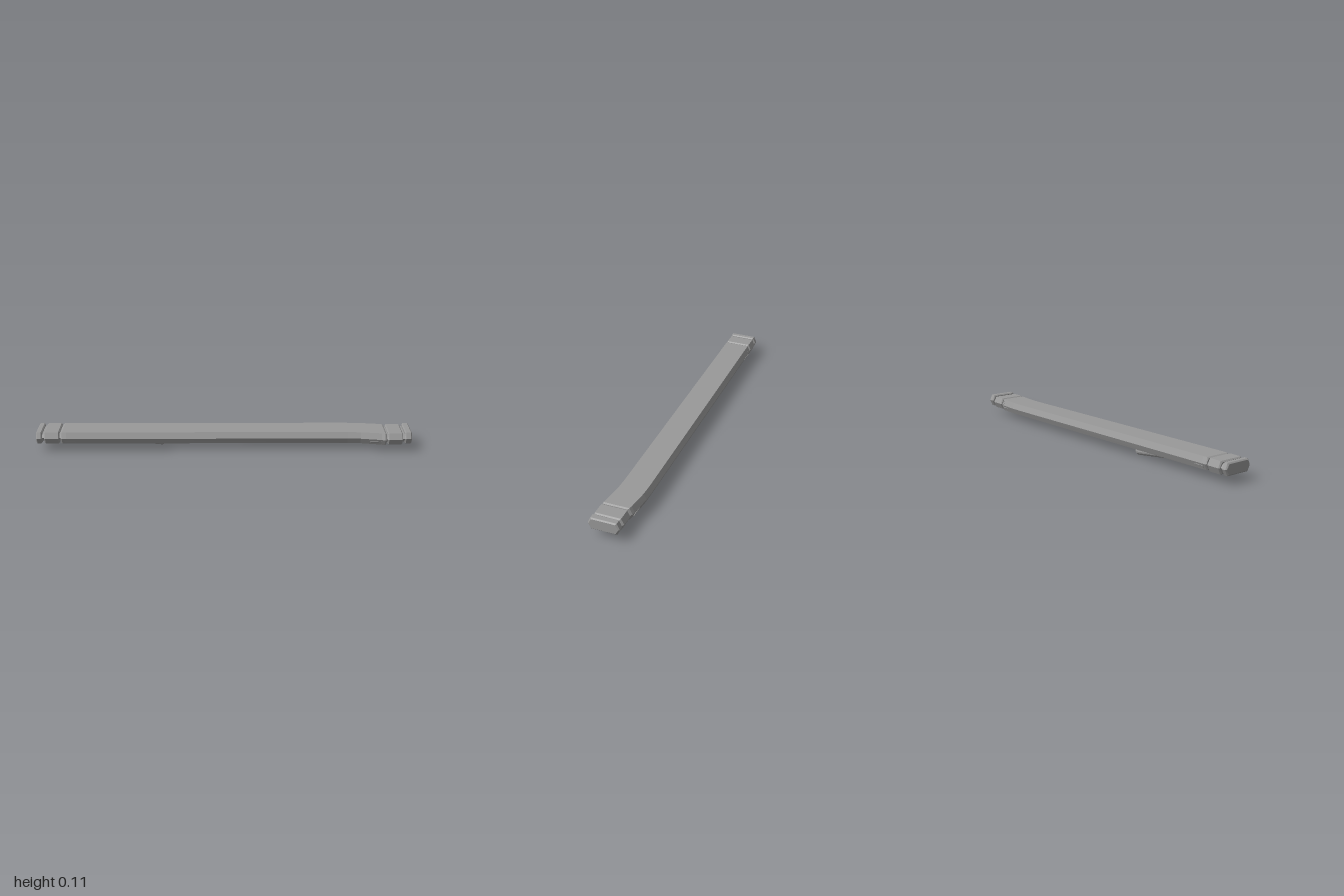
import * as THREE from 'three';

const grey = new THREE.MeshStandardMaterial({ color: 0x999999, flatShading: true });
grey.name = 'grey metal';

// Skin a list of [x, [[z, y], ...]] cross-sections along x and close both ends
function loft(name, sections) {
  const pos = [];
  const rings = sections.map(([x, pts]) => {
    const v = pts.map(([z, y]) => new THREE.Vector2(y, z));
    if (THREE.ShapeUtils.area(v) < 0) v.reverse();
    return { x, v };
  });
  const put = (ring, i) => pos.push(ring.x, ring.v[i].x, ring.v[i].y);
  for (let s = 0; s < rings.length - 1; s++) {
    const a = rings[s], b = rings[s + 1], n = a.v.length;
    for (let i = 0; i < n; i++) {
      const j = (i + 1) % n;
      put(a, i); put(a, j); put(b, j);
      put(a, i); put(b, j); put(b, i);
    }
  }
  const first = rings[0], last = rings[rings.length - 1];
  for (const [p, q, r] of THREE.ShapeUtils.triangulateShape(first.v, [])) {
    put(first, p); put(first, r); put(first, q);
  }
  for (const [p, q, r] of THREE.ShapeUtils.triangulateShape(last.v, [])) {
    put(last, p); put(last, q); put(last, r);
  }
  const geo = new THREE.BufferGeometry();
  geo.setAttribute('position', new THREE.Float32BufferAttribute(pos, 3));
  geo.computeVertexNormals();
  const mesh = new THREE.Mesh(geo, grey);
  mesh.name = name;
  return mesh;
}

// Six-sided section: centre z, bottom, top and an inset for bevels
function hex(cz, y0, y1, inset = 0) {
  const w = 0.082 - inset, f = 0.067 - inset, b = y0 + inset, t = y1 - inset, m = (y0 + y1) / 2;
  return [[cz - f, b], [cz - w, m], [cz - f, t], [cz + f, t], [cz + w, m], [cz + f, b]];
}

function block(name, x0, x1, cz, y0, y1, bevel = 0.006) {
  return loft(name, [
    [x0, hex(cz, y0, y1, bevel)], [x0 + bevel, hex(cz, y0, y1)],
    [x1 - bevel, hex(cz, y0, y1)], [x1, hex(cz, y0, y1, bevel)],
  ]);
}

// Six-sided beam section with an open trough underneath
function trough(cz, y0, y1) {
  const m = (y0 + y1) / 2, c = y0 + 0.03;
  return [[cz - 0.067, y0], [cz - 0.081, m], [cz - 0.067, y1], [cz + 0.067, y1],
    [cz + 0.081, m], [cz + 0.067, y0], [cz + 0.052, y0], [cz + 0.046, c - 0.008],
    [cz + 0.03, c], [cz - 0.03, c], [cz - 0.046, c - 0.008], [cz - 0.052, y0]];
}

function rod(name, from, to, r0, r1) {
  const a = new THREE.Vector3(...from), b = new THREE.Vector3(...to);
  const mesh = new THREE.Mesh(new THREE.CylinderGeometry(r1, r0, a.distanceTo(b), 16), grey);
  mesh.position.copy(a).add(b).multiplyScalar(0.5);
  mesh.quaternion.setFromUnitVectors(new THREE.Vector3(0, 1, 0), b.sub(a).normalize());
  mesh.name = name;
  return mesh;
}

function box(name, x, y, z, w, h, d) {
  const mesh = new THREE.Mesh(new THREE.BoxGeometry(w, h, d), grey);
  mesh.position.set(x, y, z);
  mesh.name = name;
  return mesh;
}

export function createModel() {
  const g = new THREE.Group();
  g.name = 'beam';

  // Long beam, drifting backwards and returning at its left end
  g.add(loft('beamShell', [
    [-0.84, trough(0.004, 0.046, 0.111)],
    [0.66, trough(-0.0125, 0.043, 0.105)],
    [0.73, trough(-0.011, 0.042, 0.105)],
    [0.84, trough(0.002, 0.039, 0.104)],
  ]));
  g.add(loft('rightBeamEnd', [
    [-0.87, hex(0.004, 0.046, 0.111, 0.005)], [-0.862, hex(0.004, 0.046, 0.111)],
    [-0.84, hex(0.004, 0.046, 0.111)],
  ]));
  g.add(loft('leftBeamEnd', [
    [0.84, hex(0.002, 0.039, 0.104)], [0.858, hex(0.006, 0.037, 0.104)],
    [0.866, hex(0.007, 0.037, 0.104, 0.005)],
  ]));

  // Segmented ends on narrower cores
  g.add(block('rightCap', -1, -0.968, 0.006, 0.047, 0.111));
  g.add(block('rightBlock', -0.957, -0.876, 0.004, 0.045, 0.111));
  g.add(block('leftBlock', 0.873, 0.953, 0.0075, 0.042, 0.105));
  g.add(block('leftCap', 0.963, 1, 0.0075, 0.047, 0.111));
  g.add(loft('rightCore', [[-0.985, hex(0.004, 0.047, 0.11, 0.011)], [-0.85, hex(0.004, 0.047, 0.11, 0.011)]]));
  g.add(loft('leftCore', [[0.85, hex(0.0075, 0.042, 0.105, 0.01)], [0.985, hex(0.0075, 0.045, 0.107, 0.01)]]));

  // Side latches on the lower slopes
  for (const [x, cz, y] of [[-0.82, 0.004, 0.062], [0.81, -0.002, 0.056]]) {
    for (const s of [-1, 1]) {
      const latch = box('sideLatch', x, y, cz + s * 0.0746, 0.06, 0.014, 0.004);
      latch.rotation.x = s * 0.41;
      g.add(latch);
    }
  }

  // Slanting strut hanging out of the trough
  g.add(rod('strut', [-0.8, 0.07, -0.006], [-0.33, 0.024, -0.02], 0.014, 0.0205));
  g.add(rod('strutTip', [-0.33, 0.024, -0.02], [-0.315, 0.024, -0.02], 0.0195, 0.012));
  g.add(box('strutMount', -0.81, 0.066, 0, 0.04, 0.025, 0.05));

  // Rod lying in the left part of the trough
  g.add(rod('innerRod', [0.55, 0.064, -0.012], [0.84, 0.062, -0.004], 0.018, 0.018));

  // Lever with twin rails, widening to a pivot plate
  g.add(loft('lever', [
    [-0.22, [[-0.03, 0.03], [-0.03, 0.044], [-0.006, 0.044], [-0.006, 0.03]]],
    [0.32, [[-0.03, 0.044], [-0.03, 0.056], [-0.002, 0.056], [-0.002, 0.044]]],
  ]));
  for (const s of [-1, 1]) {
    g.add(rod('rail', [-0.25, 0.063, -0.006 + s * 0.032], [0.4, 0.061, -0.009 + s * 0.032], 0.011, 0.011));
  }
  g.add(box('pivotPlate', 0.4, 0.053, -0.009, 0.12, 0.014, 0.095));
  g.add(box('pivotArm', 0.5, 0.056, -0.028, 0.16, 0.014, 0.045));
  g.add(box('leverBracket', -0.25, 0.054, -0.015, 0.09, 0.03, 0.04));
  return g;
}
